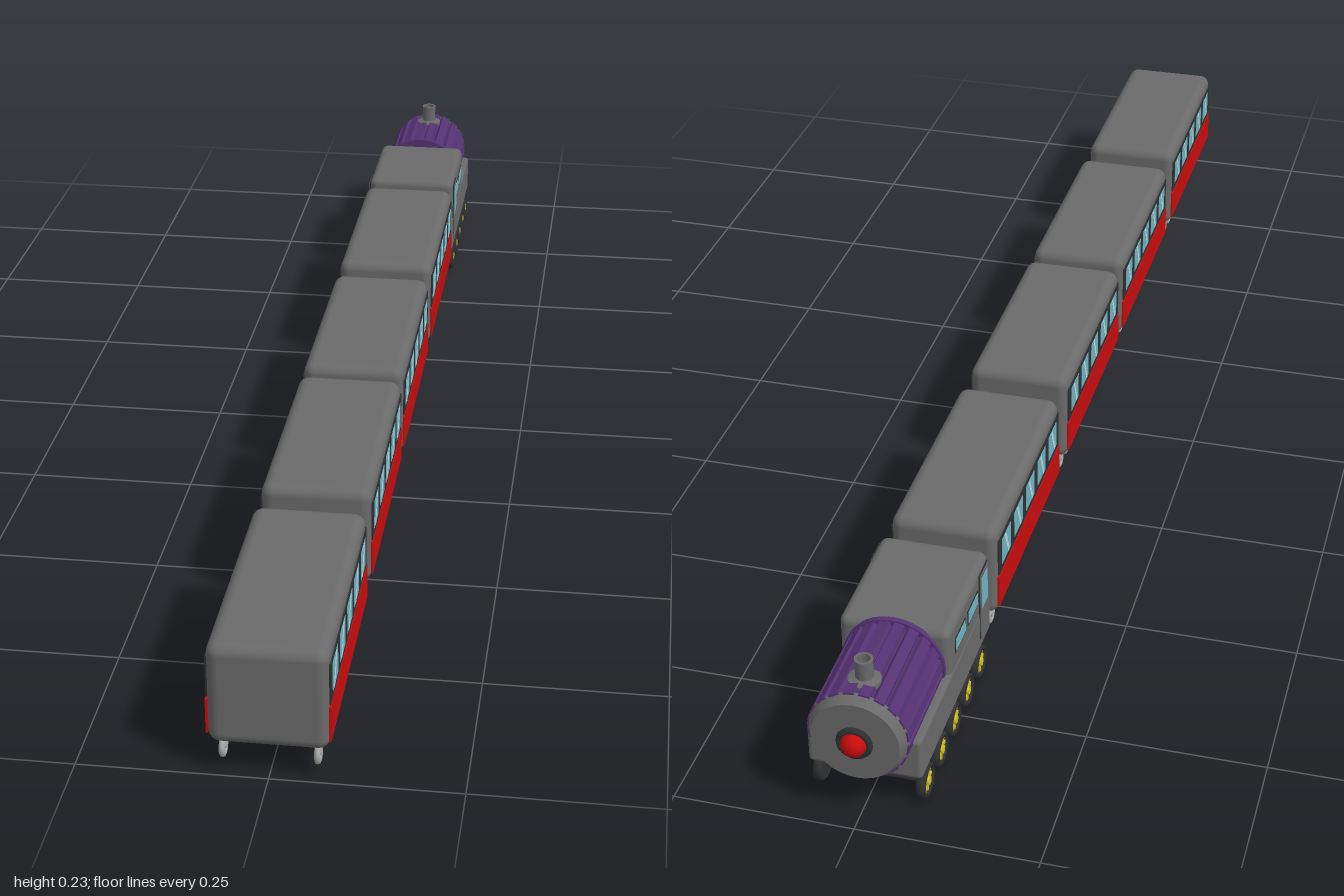
import * as THREE from 'three';
import { RoundedBoxGeometry } from 'three/addons/geometries/RoundedBoxGeometry.js';

const paint = (name, color) => {
  const m = new THREE.MeshStandardMaterial({ color });
  m.name = name;
  return m;
};

export function createModel() {
  const grey = paint('body grey', 0x6a6a6a);
  const dark = paint('dark trim', 0x2e3032);
  const red = paint('red', 0xc80c0c);
  const purple = paint('purple', 0x553273);
  const glass = paint('window blue', 0x6fb4c4);
  const glint = paint('window glint', 0xb4dbe2);
  const silver = paint('wheel silver', 0xa8a8a8);
  const yellow = paint('spoke yellow', 0xd8c41a);

  const train = new THREE.Group();
  train.name = 'train';

  function add(parent, name, geo, mat, x = 0, y = 0, z = 0) {
    const mesh = new THREE.Mesh(geo, mat);
    mesh.name = name;
    mesh.position.set(x, y, z);
    parent.add(mesh);
    return mesh;
  }
  function group(parent, name, x = 0, y = 0, z = 0) {
    const g = new THREE.Group();
    g.name = name;
    g.position.set(x, y, z);
    parent.add(g);
    return g;
  }
  const box = (w, h, d) => new THREE.BoxGeometry(w, h, d);
  // cylinder along x or z
  const rodX = (r, l, n = 20) => new THREE.CylinderGeometry(r, r, l, n).rotateZ(Math.PI / 2);
  const rodZ = (r0, r1, l, n = 24) => new THREE.CylinderGeometry(r0, r1, l, n).rotateX(Math.PI / 2);

  // slanted reflection on a pane
  const streak = new THREE.Shape([
    new THREE.Vector2(-0.015, -0.02), new THREE.Vector2(-0.007, -0.02),
    new THREE.Vector2(0.011, 0.02), new THREE.Vector2(0.003, 0.02),
  ]);
  const streakGeo = new THREE.ExtrudeGeometry(streak, { depth: 0.001, bevelEnabled: false })
    .rotateY(Math.PI / 2).translate(-0.0005, 0, 0);

  const carWheelGeo = new THREE.TorusGeometry(0.0115, 0.0042, 8, 16).rotateY(Math.PI / 2);
  const carHubGeo = rodX(0.004, 0.008, 10);
  const carDiscGeo = rodX(0.0105, 0.002, 16);

  // ---- passenger cars ----
  const carLength = 0.364;
  const carBody = new RoundedBoxGeometry(0.156, 0.146, carLength, 4, 0.016);

  function buildCar(z) {
    const car = group(train, 'passengerCar', 0, 0, z);
    add(car, 'carBody', carBody, grey, 0, 0.118, 0);
    for (const s of [-1, 1]) {
      add(car, 'redPanel', box(0.003, 0.05, 0.352), red, s * 0.0785, 0.084, 0);
      add(car, 'windowBand', box(0.002, 0.059, 0.346), dark, s * 0.0782, 0.141, 0);
      for (let i = 0; i < 5; i++) {
        const wz = (i - 2) * 0.067;
        add(car, 'windowPane', box(0.002, 0.042, 0.046), glass, s * 0.0788, 0.142, wz);
        add(car, 'windowGlint', streakGeo, glint, s * 0.0798, 0.142, wz);
      }
      for (let i = 0; i < 9; i++) {
        const wheel = group(car, 'carWheel', s * 0.061, 0.031, (i - 4) * 0.04);
        add(wheel, 'wheelRing', carWheelGeo, silver);
        add(wheel, 'wheelDisc', carDiscGeo, dark);
        add(wheel, 'wheelHub', carHubGeo, silver);
      }
    }
  }
  [0.818, 0.405, 0.014, -0.398].forEach(buildCar);

  // couplings in the gaps
  for (const z of [0.613, 0.21, -0.192, -0.597]) {
    add(train, 'coupling', rodZ(0.004, 0.004, 0.09, 10), dark, 0, 0.062, z);
  }

  // ---- locomotive ----
  const loco = group(train, 'locomotive');
  add(loco, 'cab', new RoundedBoxGeometry(0.154, 0.134, 0.194, 4, 0.012), grey, 0, 0.122, -0.713);
  add(loco, 'lowerBody', new RoundedBoxGeometry(0.156, 0.064, 0.332, 3, 0.006), grey, 0, 0.086, -0.781);

  // ribbed boiler
  const ribs = 20;
  const ring = [];
  for (let i = 0; i < ribs; i++) {
    for (const [t, r] of [[0.04, 0.063], [0.18, 0.069], [0.82, 0.069], [0.96, 0.063]]) {
      const a = ((i + t) / ribs) * Math.PI * 2;
      ring.push(new THREE.Vector2(Math.cos(a) * r, Math.sin(a) * r));
    }
  }
  const boilerGeo = new THREE.ExtrudeGeometry(new THREE.Shape(ring), { depth: 0.16, bevelEnabled: false });
  add(loco, 'boiler', boilerGeo, purple, 0, 0.13, -0.966);
  add(loco, 'boilerRearBand', rodZ(0.071, 0.071, 0.008, 32), purple, 0, 0.13, -0.811);

  // smokebox front with lamp
  add(loco, 'smokeboxFront', rodZ(0.068, 0.06, 0.016, 32), grey, 0, 0.13, -0.971);
  add(loco, 'lampRing', new THREE.TorusGeometry(0.02, 0.005, 8, 24), dark, 0, 0.13, -0.981);
  const lamp = add(loco, 'lamp', new THREE.SphereGeometry(0.018, 20, 12), red, 0, 0.13, -0.982);
  lamp.scale.z = 1;

  // chimney
  const chimney = [[0, 0.185], [0.022, 0.19], [0.022, 0.197], [0.012, 0.2], [0.0125, 0.228], [0.009, 0.228], [0.009, 0.21], [0, 0.21]]
    .map(([r, y]) => new THREE.Vector2(r, y));
  const stack = group(loco, 'chimney', 0, 0, -0.93);
  for (let i = 0; i < chimney.length - 1; i++) {
    add(stack, 'chimneySection', new THREE.LatheGeometry(chimney.slice(i, i + 2), 20), grey);
  }

  // loco wheel pieces
  const tyreGeo = new THREE.TorusGeometry(0.0205, 0.0045, 8, 24).rotateY(Math.PI / 2).scale(1.6, 1, 1);
  const backGeo = rodX(0.02, 0.006, 20);
  const locoWheelZ = [-0.66, -0.724, -0.787, -0.85, -0.913];

  for (const s of [-1, 1]) {
    add(loco, 'doorFrame', box(0.004, 0.108, 0.042), dark, s * 0.0765, 0.126, -0.648);
    add(loco, 'doorLeaf', box(0.004, 0.104, 0.038), grey, s * 0.0775, 0.126, -0.648);
    add(loco, 'doorWindow', box(0.003, 0.05, 0.028), glass, s * 0.0788, 0.147, -0.648);
    for (const z of [-0.7, -0.76]) {
      add(loco, 'cabWindowFrame', box(0.003, 0.024, 0.05), dark, s * 0.0762, 0.15, z);
      add(loco, 'cabWindow', box(0.003, 0.018, 0.044), glass, s * 0.077, 0.15, z);
    }
    for (const z of locoWheelZ) {
      const wheel = group(loco, 'drivingWheel', s * 0.071, 0.025, z);
      add(wheel, 'tyre', tyreGeo, dark);
      add(wheel, 'wheelBack', backGeo, dark, -s * 0.003);
      add(wheel, 'wheelHub', rodX(0.006, 0.008, 12), yellow, s * 0.003);
      for (let k = 0; k < 4; k++) {
        const spoke = add(wheel, 'spoke', box(0.004, 0.036, 0.005), yellow, s * 0.002);
        spoke.rotation.x = (k * Math.PI) / 4;
      }
    }
  }
  for (const z of locoWheelZ) add(loco, 'axle', rodX(0.004, 0.136, 10), dark, 0, 0.025, z);

  return train;
}
